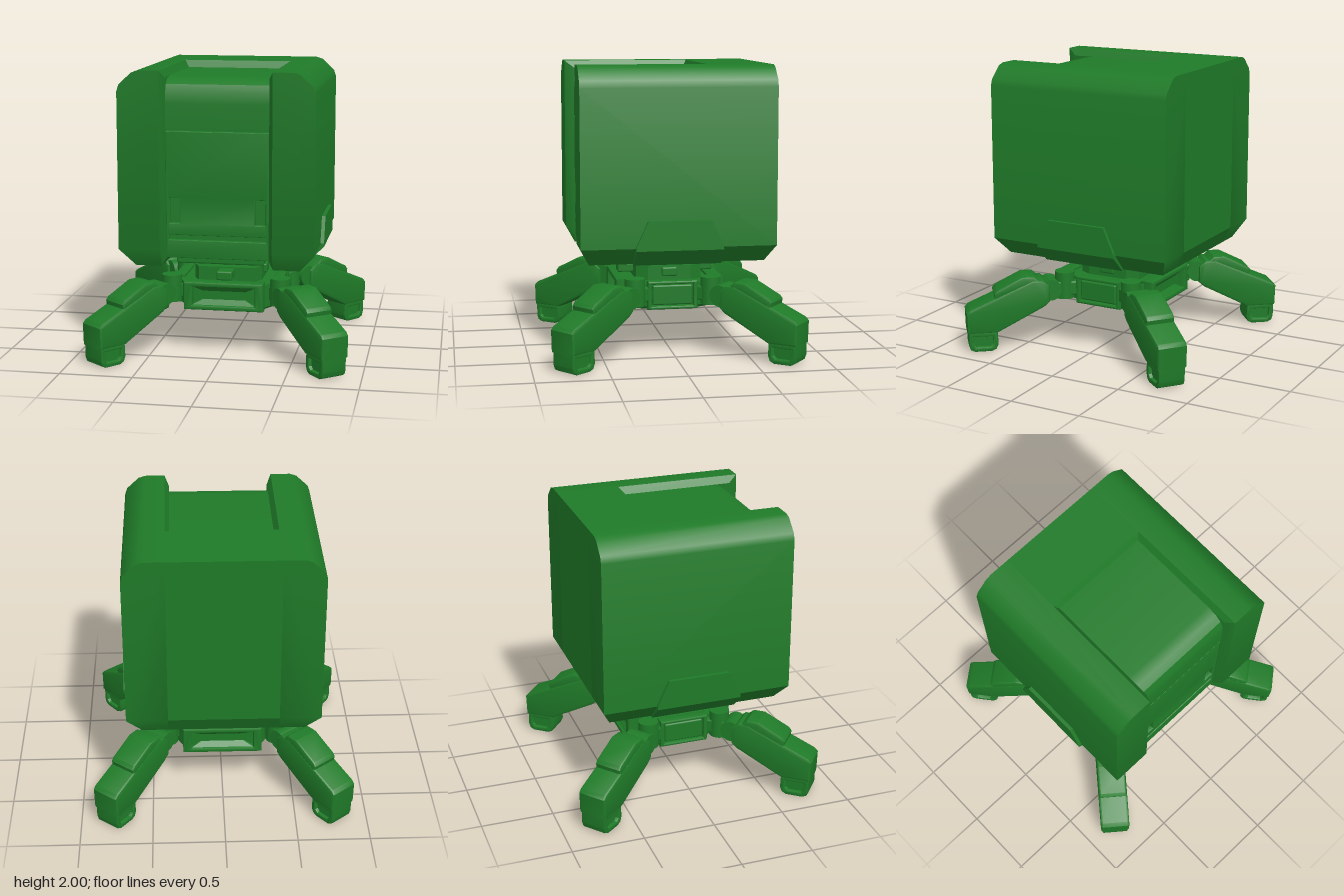
import * as THREE from 'three';
import { toCreasedNormals } from 'three/addons/utils/BufferGeometryUtils.js';
import { ConvexGeometry } from 'three/addons/geometries/ConvexGeometry.js';
import { RoundedBoxGeometry } from 'three/addons/geometries/RoundedBoxGeometry.js';

const green = new THREE.MeshStandardMaterial({ color: 0x1f7a28 });

function add(parent, name, geometry, x = 0, y = 0, z = 0) {
  const mesh = new THREE.Mesh(geometry, green);
  mesh.name = name;
  mesh.position.set(x, y, z);
  parent.add(mesh);
  return mesh;
}

// Convex solid around a list of [x, y, z] corners
function hull(points, crease = 0.5) {
  return toCreasedNormals(new ConvexGeometry(points.map(p => new THREE.Vector3(...p))), crease);
}

// Outline given as [x, y] pairs, extruded about z = 0 with a bevel inside the outline
function plate(outline, width, bevel = 0.012, holes = []) {
  const toPoints = list => list.map(p => new THREE.Vector2(...p));
  const shape = new THREE.Shape(toPoints(outline));
  shape.holes = holes.map(h => new THREE.Path(toPoints(h)));
  const geometry = new THREE.ExtrudeGeometry(shape, {
    depth: width - 2 * bevel, bevelEnabled: bevel > 0, bevelSize: bevel,
    bevelThickness: bevel, bevelOffset: -bevel, bevelSegments: 2,
  });
  geometry.translate(0, 0, -width / 2 + bevel);
  return toCreasedNormals(geometry, 0.5);
}

const rect = (x0, y0, x1, y1) => [[x0, y0], [x1, y0], [x1, y1], [x0, y1]];
const box = (w, h, d, r = 0.012) => new RoundedBoxGeometry(w, h, d, 2, r);

function buildHead() {
  const head = new THREE.Group();
  head.name = 'head';

  for (const s of [1, -1]) {
    // Side shell: rounded top edge, sloping bottom, bevelled inner edge
    const profile = [[0.38, 2], [0.52, 2], [0.565, 1.985], [0.65, 1.905], [0.665, 1.86], [0.665, 0.79]];
    const corners = [];
    for (const z of [0.665, -0.665]) for (const [x, y] of profile) corners.push([s * x, y, z]);
    for (const z of [0.6, -0.6]) {
      corners.push([s * 0.56, 0.67, z], [s * 0.38, 0.67, z], [s * 0.35, 0.73, z], [s * 0.35, 1.95, z]);
    }
    corners.push([s * 0.38, 0.79, 0.665], [s * 0.38, 0.79, -0.665]);
    add(head, 'sideShell', hull(corners));

    // Raised guard low on each side, wrapping under the edge
    const guard = [];
    for (const z of [1, -1]) {
      for (const x of [0.6, 0.69]) {
        guard.push([s * x, 0.975, z * 0.215], [s * x, 0.8, z * 0.295]);
      }
      guard.push([s * 0.69, 0.775, z * 0.297], [s * 0.57, 0.66, z * 0.3], [s * 0.54, 0.68, z * 0.3]);
    }
    add(head, 'sideGuard', hull(guard, 0.2));
  }

  // Back block closing the space between the shells
  const back = [];
  for (const x of [-0.38, 0.38]) {
    back.push([x, 2, -0.665], [x, 0.79, -0.665], [x, 0.67, -0.6],
      [x, 2, -0.225], [x, 1.95, -0.2], [x, 0.67, -0.2]);
  }
  add(head, 'backBlock', hull(back, 0.2));

  // Curved upper panel set into the roof and front
  const visor = [];
  for (const x of [-0.35, 0.35]) {
    for (const [z, y] of [[-0.25, 1.95], [0.45, 1.95], [0.52, 1.94], [0.57, 1.905], [0.594, 1.85],
      [0.6, 1.78], [0.6, 1.606], [-0.25, 1.606]]) visor.push([x, y, z]);
  }
  add(head, 'upperPanel', hull(visor));

  // Front door with two upright slots and a long low slot
  add(head, 'doorBacking', new THREE.BoxGeometry(0.72, 0.88, 0.79), 0, 1.175, 0.175);
  add(head, 'frontDoor', plate(rect(-0.35, 0.73, 0.35, 1.594), 0.04, 0.006, [
    rect(-0.325, 0.97, -0.255, 1.14), rect(0.255, 0.97, 0.325, 1.14), rect(-0.33, 0.855, 0.33, 0.888),
  ]), 0, 0, 0.58);
  add(head, 'bellyPlate', box(0.6, 0.1, 0.75), 0, 0.72, 0.12);
  return head;
}

function buildHub() {
  const hub = new THREE.Group();
  hub.name = 'hub';

  // Turning neck
  const neck = [[0, 0.48], [0.17, 0.48], [0.17, 0.6], [0.185, 0.605], [0.185, 0.64],
    [0.155, 0.645], [0.155, 0.7], [0, 0.7]].map(p => new THREE.Vector2(...p));
  add(hub, 'neck', toCreasedNormals(new THREE.LatheGeometry(neck, 40), 0.5));

  // Eight-sided core and its top plate
  const core = [];
  const top = [];
  for (const sx of [1, -1]) for (const sz of [1, -1]) {
    for (const y of [0.33, 0.49]) core.push([sx * 0.36, y, sz * 0.17], [sx * 0.27, y, sz * 0.33]);
    core.push([sx * 0.33, 0.305, sz * 0.15], [sx * 0.25, 0.305, sz * 0.3]);
    for (const y of [0.48, 0.59]) top.push([sx * 0.24, y, sz * 0.15], [sx * 0.2, y, sz * 0.23]);
  }
  add(hub, 'core', hull(core, 0.2));
  add(hub, 'topPlate', hull(top, 0.2));

  for (const s of [1, -1]) {
    add(hub, 'endLug', box(0.11, 0.065, 0.16), 0, 0.55, s * 0.26);
    add(hub, 'sideLug', box(0.1, 0.065, 0.11), s * 0.21, 0.55, 0);

    // Framed vent on front and back, with a pinched inner block
    const vent = new THREE.Group();
    vent.name = 'endVent';
    add(vent, 'ventFrame', plate(rect(-0.28, 0.31, 0.28, 0.51), 0.1, 0.012,
      [rect(-0.22, 0.345, 0.22, 0.475)]), 0, 0, 0.33);
    for (const e of [1, -1]) {
      add(vent, 'ventLip', hull([[-0.22, 0.41 + e * 0.066, 0.365], [0.22, 0.41 + e * 0.066, 0.365],
        [-0.15, 0.41 + e * 0.03, 0.335], [0.15, 0.41 + e * 0.03, 0.335],
        [-0.22, 0.41 + e * 0.066, 0.31], [0.22, 0.41 + e * 0.066, 0.31]], 0.2));
    }
    vent.rotation.y = s > 0 ? 0 : Math.PI;
    hub.add(vent);

    // Plain framed cover on each side
    const cover = new THREE.Group();
    cover.name = 'sideCover';
    add(cover, 'coverFrame', plate(rect(-0.175, 0.31, 0.175, 0.51), 0.08, 0.012,
      [rect(-0.145, 0.335, 0.145, 0.485)]), 0, 0, 0.35);
    add(cover, 'coverPanel', box(0.28, 0.14, 0.06), 0, 0.41, 0.35);
    cover.rotation.y = s * Math.PI / 2;
    hub.add(cover);
  }
  return hub;
}

// Leg reaching along +x from its hinge
function buildLeg() {
  const leg = new THREE.Group();
  leg.name = 'leg';
  add(leg, 'hinge', new THREE.CylinderGeometry(0.07, 0.07, 0.19, 24), 0, 0.44, 0);
  add(leg, 'hingeArm', box(0.2, 0.1, 0.12), -0.03, 0.42, 0);
  const knuckle = add(leg, 'knuckle', new THREE.CylinderGeometry(0.075, 0.075, 0.17, 24), 0.11, 0.42, 0);
  knuckle.rotation.x = Math.PI / 2;

  add(leg, 'limb', plate([[0.12, 0.34], [0.16, 0.305], [0.49, 0.135], [0.70, 0.135], [0.705, 0.285],
    [0.68, 0.31], [0.24, 0.5], [0.17, 0.5], [0.12, 0.46]], 0.21, 0.016));
  add(leg, 'limbCap', plate([[0.23, 0.46], [0.5, 0.36], [0.51, 0.415], [0.49, 0.44], [0.31, 0.53],
    [0.23, 0.53], [0.19, 0.495]], 0.2, 0.014));

  // Foot with a shallow window in each flank
  const window = [[0.52, 0.11], [0.525, 0.055], [0.545, 0.035], [0.64, 0.035], [0.655, 0.055], [0.66, 0.11]];
  add(leg, 'foot', plate([[0.49, 0.15], [0.485, 0.05], [0.5, 0.015], [0.53, 0], [0.65, 0], [0.68, 0.015],
    [0.692, 0.05], [0.692, 0.15]], 0.19, 0.01, [window]));
  add(leg, 'footCore', new THREE.BoxGeometry(0.17, 0.11, 0.14), 0.59, 0.075, 0);
  return leg;
}

export function createModel() {
  const model = new THREE.Group();
  model.name = 'fourLeggedRobot';
  model.add(buildHead(), buildHub());
  for (const sx of [1, -1]) for (const sz of [1, -1]) {
    const leg = buildLeg();
    leg.position.set(sx * 0.385, 0, sz * 0.265);
    leg.rotation.y = Math.atan2(-sz * 0.78, sx * 0.63);
    model.add(leg);
  }
  return model;
}
